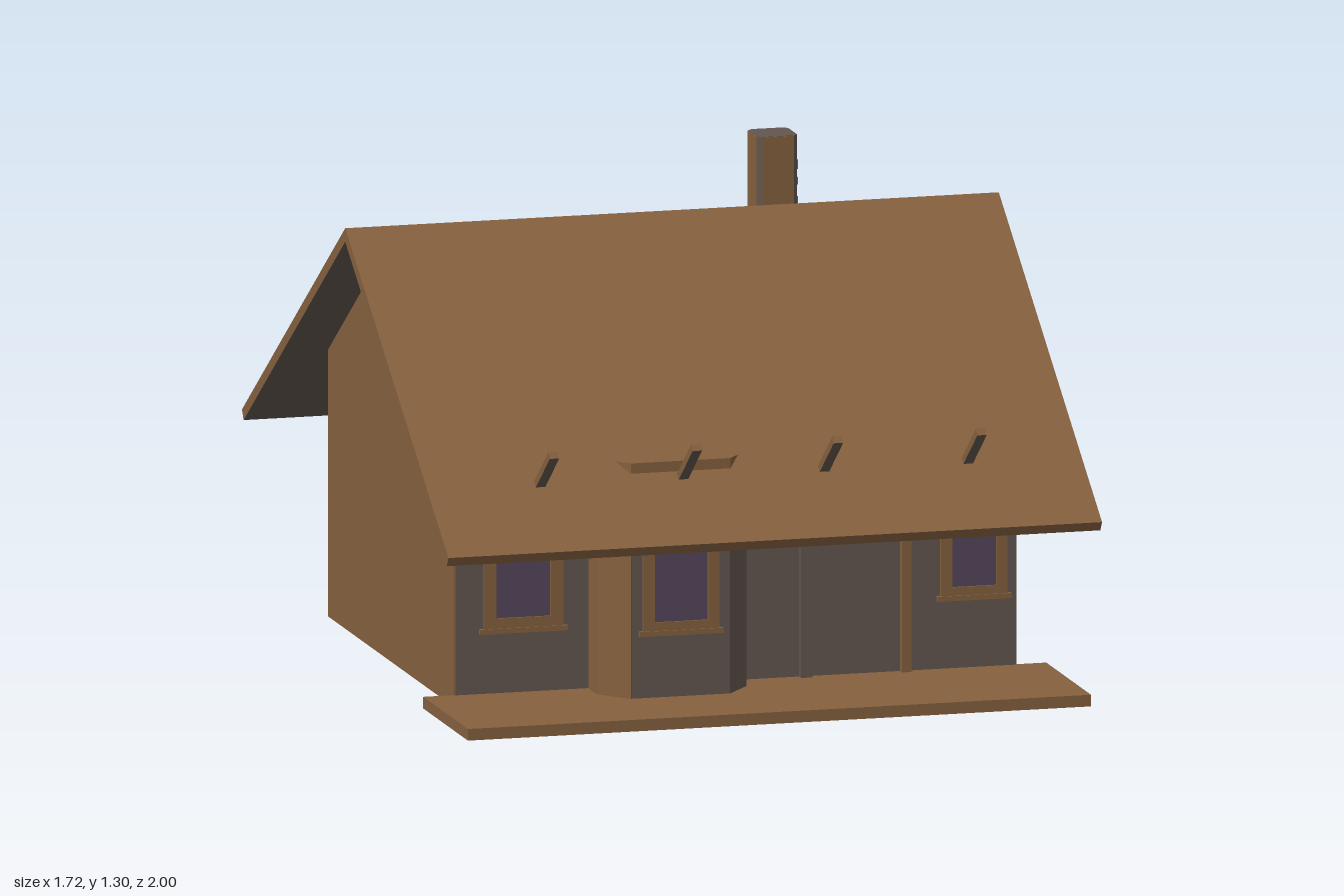
import * as THREE from 'three';

export function createModel() {
  const model = new THREE.Group();
  const mat = (name, color) => {
    const m = new THREE.MeshStandardMaterial({ color, flatShading: true });
    m.name = name;
    return m;
  };
  const wood = mat('brown wood', 0x85603e);
  const stone = mat('grey plaster', 0x625650);
  const glass = mat('purple glass', 0x53455c);

  const add = (name, geo, material) => {
    const mesh = new THREE.Mesh(geo, material);
    mesh.name = name;
    model.add(mesh);
    return mesh;
  };
  // Box from its limits on each axis
  const box = (name, [x0, x1], [y0, y1], [z0, z1], material) => {
    const mesh = add(name, new THREE.BoxGeometry(x1 - x0, y1 - y0, z1 - z0), material);
    mesh.position.set((x0 + x1) / 2, (y0 + y1) / 2, (z0 + z1) / 2);
    return mesh;
  };
  const extrude = (shape, depth) => new THREE.ExtrudeGeometry(shape, { depth, bevelEnabled: false });
  const poly = (pts) => new THREE.Shape(pts.map(([a, b]) => new THREE.Vector2(a, b)));
  // Side profile of [z, y] points, extruded along x
  const alongX = (name, pts, x0, x1, material) =>
    add(name, extrude(poly(pts.map(([z, y]) => [-z, y])), x1 - x0).rotateY(Math.PI / 2).translate(x0, 0, 0), material);
  // Floor plan of [x, z] points, extruded upwards
  const upward = (name, pts, y0, y1, material) =>
    add(name, extrude(poly(pts.map(([x, z]) => [x, -z])), y1 - y0).rotateX(-Math.PI / 2).translate(0, y0, 0), material);

  // House body with gables; the -x gable is clad in wood
  const ridgeZ = -0.02, ridgeY = 1.125, slope = 0.673;
  const under = (z) => ridgeY - 0.035 - slope * Math.abs(z - ridgeZ);
  const gable = [[0.58, 0], [-0.615, 0], [-0.615, under(-0.615)], [ridgeZ, under(ridgeZ)], [0.58, under(0.58)]];
  alongX('houseBody', gable, -0.735, 0.735, stone);
  alongX('woodGableWall', gable, -0.74, -0.735, wood);

  // Roof slopes: boxes sheared to the pitch, with eaves cut square
  const run = 0.98;
  for (const side of [1, -1]) {
    const geo = new THREE.BoxGeometry(1.715, 1, 1);
    const p = geo.attributes.position;
    for (let i = 0; i < p.count; i++) {
      const top = p.getY(i) > 0;
      const eave = p.getZ(i) * side > 0;
      const d = eave ? (top ? run : run - 0.016) : 0;
      p.setXYZ(i, p.getX(i) - 0.0025, ridgeY - (top ? 0 : 0.035) - slope * d, ridgeZ + side * d);
    }
    geo.computeVertexNormals();
    add(side > 0 ? 'frontRoof' : 'backRoof', geo, [stone, wood, wood, stone, wood, stone]);
  }

  // Rounded plate high on the +x gable
  const plate = new THREE.Shape();
  plate.moveTo(-0.15, 0.855);
  plate.lineTo(0.19, 0.855);
  plate.quadraticCurveTo(0.23, 0.855, 0.23, 0.895);
  plate.lineTo(0.23, 0.92);
  plate.lineTo(0.15, 0.985);
  plate.lineTo(-0.11, 0.985);
  plate.lineTo(-0.19, 0.94);
  plate.lineTo(-0.19, 0.895);
  plate.quadraticCurveTo(-0.19, 0.855, -0.15, 0.855);
  add('gablePlate', extrude(plate, 0.014).rotateY(Math.PI / 2).translate(0.735, 0, 0), stone);

  // Chimney with chamfered corners, wooden faces and side bands
  const [cx0, cx1, cz0, cz1, c] = [0.225, 0.33, -0.13, -0.025, 0.011];
  upward('chimney', [
    [cx0 + c, cz1], [cx1 - c, cz1], [cx1, cz1 - c], [cx1, cz0 + c],
    [cx1 - c, cz0], [cx0 + c, cz0], [cx0, cz0 + c], [cx0, cz1 - c],
  ], 1.0, 1.3, stone);
  box('chimneyFrontFace', [cx0 + c, cx1 - c], [1.0, 1.299], [cz1, cz1 + 0.002], wood);
  box('chimneySideFace', [cx0 - 0.002, cx0], [1.0, 1.299], [cz0 + c, cz1 - c], wood);
  for (const [y0, y1] of [[1.0, 1.14], [1.17, 1.19], [1.21, 1.235]]) {
    box('chimneyBand', [cx1, cx1 + 0.002], [y0, y1], [cz0 + c, cz1 - c], wood);
    box('chimneyBand', [cx0 + c, cx1 - c], [y0, y1], [cz0 - 0.002, cz0], wood);
  }

  // Porch deck
  box('porchDeck', [-0.82, 0.815], [0, 0.03], [0.575, 1.0], [stone, wood, wood, stone, wood, stone]);

  // Bay: grey body, wooden left facets and wooden head
  upward('bay', [[-0.385, 0.57], [-0.385, 0.66], [-0.32, 0.74], [-0.06, 0.74], [0.005, 0.66], [0.005, 0.57]], 0.03, 0.634, stone);
  upward('bayLeftFacets', [[-0.388, 0.57], [-0.388, 0.661], [-0.321, 0.743], [-0.318, 0.74], [-0.383, 0.66], [-0.383, 0.57]], 0.03, 0.634, wood);
  upward('bayHead', [[-0.386, 0.57], [-0.386, 0.661], [-0.321, 0.743], [-0.06, 0.743], [0.005, 0.66], [0.005, 0.57]], 0.56, 0.638, wood);

  // Windows: frame bars, pane and sill
  const windowAt = (x0, x1, y0, y1, z, rail) => {
    const front = z + 0.009;
    box('windowFrame', [x0, x0 + rail], [y0, y1], [z, front], wood);
    box('windowFrame', [x1 - rail, x1], [y0, y1], [z, front], wood);
    box('windowFrame', [x0 + rail, x1 - rail], [y1 - rail, y1], [z, front], wood);
    box('windowFrame', [x0 + rail, x1 - rail], [y0, y0 + rail], [z, front], wood);
    box('windowPane', [x0 + rail, x1 - rail], [y0 + rail, y1 - rail], [z, z + 0.004], glass);
    box('windowSill', [x0 - 0.01, x1 + 0.01], [y0 - 0.005, y0 + 0.008], [z, z + 0.012], wood);
  };
  windowAt(-0.665, -0.455, 0.19, 0.54, 0.58, 0.034);
  windowAt(-0.29, -0.09, 0.195, 0.5, 0.74, 0.03);
  windowAt(0.535, 0.71, 0.21, 0.51, 0.58, 0.03);

  // Door jambs, with the wooden reveal on the right one
  box('doorJamb', [0.165, 0.195], [0.03, 0.52], [0.575, 0.6], stone);
  box('doorJamb', [0.43, 0.455], [0.03, 0.52], [0.575, 0.6], [stone, wood, wood, stone, wood, stone]);
  box('doorLintel', [0.195, 0.43], [0.49, 0.52], [0.575, 0.6], wood);

  // Slanted struts that pierce the front roof
  const [sz0, sy0, sz1, sy1] = [0.575, 0.462, 0.893, 0.702];
  const length = Math.hypot(sz1 - sz0, sy1 - sy0);
  for (const x of [-0.565, -0.19, 0.18, 0.557]) {
    const strut = add('strut', new THREE.BoxGeometry(0.025, 0.02, length), [stone, wood, wood, stone, wood, stone]);
    strut.position.set(x, (sy0 + sy1) / 2, (sz0 + sz1) / 2);
    strut.rotation.x = -Math.atan2(sy1 - sy0, sz1 - sz0);
  }

  return model;
}
